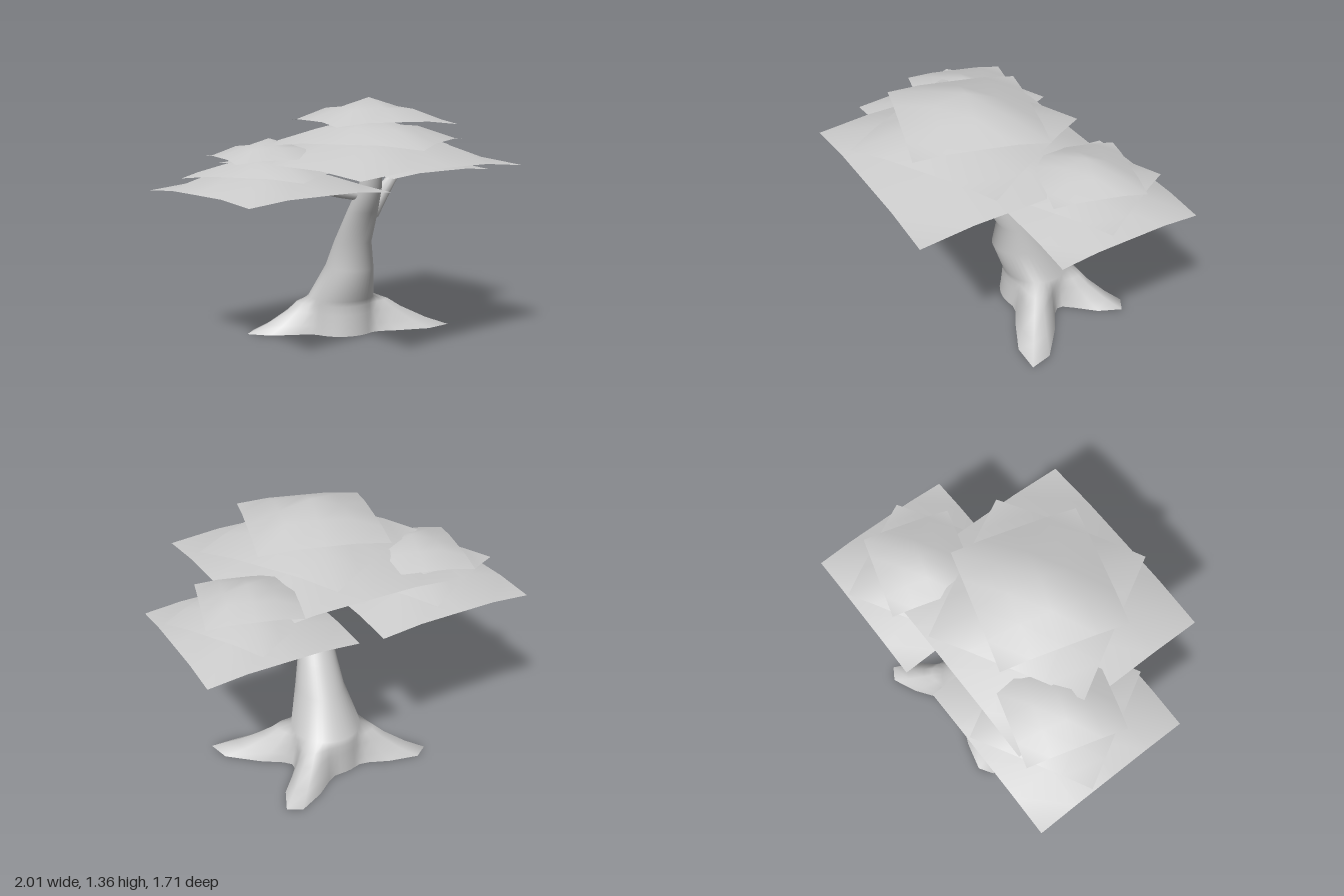
import * as THREE from 'three';

const material = new THREE.MeshStandardMaterial({ color: 0xcccccc });
const leafMaterial = new THREE.MeshStandardMaterial({ color: 0xcccccc, side: THREE.DoubleSide });

// Skin over rings of points; every ring has the same count, runs clockwise
// when seen against the direction of travel, and both ends are capped.
function loft(name, rings) {
  const n = rings[0].length;
  const positions = rings.flat().flatMap((p) => [p.x, p.y, p.z]);
  const index = [];
  for (let r = 0; r < rings.length - 1; r++) {
    for (let i = 0; i < n; i++) {
      const a = r * n + i, b = r * n + (i + 1) % n;
      index.push(a, a + n, b, b, a + n, b + n);
    }
  }
  // Caps use their own vertices so that the rims stay sharp
  [[rings[0], true], [rings[rings.length - 1], false]].forEach(([ring, start]) => {
    const centre = ring.reduce((s, p) => s.add(p), new THREE.Vector3()).divideScalar(n);
    const base = positions.length / 3;
    [centre, ...ring].forEach((p) => positions.push(p.x, p.y, p.z));
    for (let i = 0; i < n; i++) {
      const a = base + 1 + i, b = base + 1 + (i + 1) % n;
      index.push(base, ...(start ? [a, b] : [b, a]));
    }
  });
  const geometry = new THREE.BufferGeometry();
  geometry.setAttribute('position', new THREE.Float32BufferAttribute(positions, 3));
  geometry.setIndex(index);
  geometry.computeVertexNormals();
  const mesh = new THREE.Mesh(geometry, material);
  mesh.name = name;
  return mesh;
}

// Horizontal ring whose radii [x, z] may depend on the angle
function ring(x, y, z, radii) {
  const n = 40;
  return Array.from({ length: n }, (_, i) => {
    const a = -i / n * Math.PI * 2;
    const [rx, rz] = radii(a);
    return new THREE.Vector3(x + Math.cos(a) * rx, y, z + Math.sin(a) * rz);
  });
}

// Leaning trunk that flares into three long roots, built from the top down
function trunk() {
  // y, centre x, centre z, radius x, radius z
  const stem = [
    [1.1, 0.122, 0.135, 0.035, 0.035], [1.04, 0.122, 0.13, 0.043, 0.042], [0.87, 0.12, 0.075, 0.065, 0.068],
    [0.73, 0.115, -0.005, 0.085, 0.088], [0.54, 0.115, -0.13, 0.108, 0.1],
    [0.39, 0.11, -0.165, 0.133, 0.16], [0.2, 0.1, -0.262, 0.19, 0.192],
  ].map(([y, x, z, rx, rz]) => ring(x, y, z, () => [rx, rz]));

  const cx = 0.1, cz = -0.27;
  const tips = [[-0.45, -0.38], [0.39, -0.72], [0.72, -0.08]].map(([x, z]) => ({
    angle: Math.atan2(z - cz, x - cx), length: Math.hypot(x - cx, z - cz),
  }));
  const reach = (a) => tips.reduce((sum, tip) => {
    const d = Math.atan2(Math.sin(a - tip.angle), Math.cos(a - tip.angle));
    return sum + (tip.length - 0.21) * Math.exp(-((d / 0.3) ** 2));
  }, 0.21);
  // share of the reach, y
  const flare = [[0.2, 0.17], [0.37, 0.12], [0.7, 0.048], [1, 0]].map(([t, y]) => ring(cx, y, cz, (a) => {
    const r = 0.19 + (reach(a) - 0.19) * t;
    return [r, r];
  }));
  return loft('trunk', [...stem, ...flare]);
}

// Tapered limb along a few points [x, y, z, radius]
function branch(name, points) {
  const path = points.map(([x, y, z]) => new THREE.Vector3(x, y, z));
  const rings = path.map((p, k) => {
    const dir = path[Math.min(k + 1, path.length - 1)].clone().sub(path[Math.max(k - 1, 0)]).normalize();
    const side = new THREE.Vector3(0, 0, 1).cross(dir).normalize();
    const up = dir.clone().cross(side);
    return Array.from({ length: 10 }, (_, i) => {
      const a = -i / 10 * Math.PI * 2;
      return p.clone().addScaledVector(side, Math.cos(a) * points[k][3]).addScaledVector(up, Math.sin(a) * points[k][3]);
    });
  });
  return loft(name, rings);
}

// Square leaf sheet that droops from its middle to its corners
function leafSheet(half, droop) {
  const geometry = new THREE.PlaneGeometry(2 * half, 2 * half, 4, 4).rotateX(-Math.PI / 2);
  const p = geometry.attributes.position;
  for (let i = 0; i < p.count; i++) {
    const u = p.getX(i) / half, v = p.getZ(i) / half;
    p.setY(i, -droop * (u ** 6 + v ** 6) ** 0.2);
  }
  geometry.computeVertexNormals();
  return new THREE.Mesh(geometry, leafMaterial);
}

// Three stacked sheets, each turned and larger than the one above
function canopy(name, x, y, z, scale) {
  const group = new THREE.Group();
  group.name = name;
  [
    ['topLeaves', 0.345, 0.117, 0, 0],
    ['middleLeaves', 0.424, 0.127, -0.095, Math.PI / 4],
    ['bottomLeaves', 0.58, 0.172, -0.16, 0.285],
  ].forEach(([part, half, droop, height, turn]) => {
    const sheet = leafSheet(half, droop);
    sheet.name = part;
    sheet.position.y = height;
    sheet.rotation.y = turn;
    group.add(sheet);
  });
  group.position.set(x, y, z);
  group.scale.setScalar(scale);
  return group;
}

export function createModel() {
  const model = new THREE.Group();
  model.name = 'tree';
  model.add(
    trunk(),
    branch('leftBranch', [
      [0.14, 0.665, -0.11, 0.058], [0.24, 0.705, -0.155, 0.056], [0.36, 0.78, -0.27, 0.047],
      [0.47, 0.865, -0.335, 0.032], [0.485, 1.0, -0.36, 0.022],
    ]),
    branch('rightBranch', [
      [0.1, 0.83, 0.04, 0.04], [-0.02, 0.85, 0.01, 0.04], [-0.14, 0.875, 0, 0.036],
      [-0.26, 0.93, 0, 0.028], [-0.38, 1.0, 0.01, 0.018],
    ]),
    canopy('mainCanopy', 0.085, 1.36, 0.128, 1),
    canopy('leftCanopy', 0.51, 1.16, -0.367, 0.685),
    canopy('rightCanopy', -0.44, 1.15, 0.015, 0.785),
  );
  return model;
}
